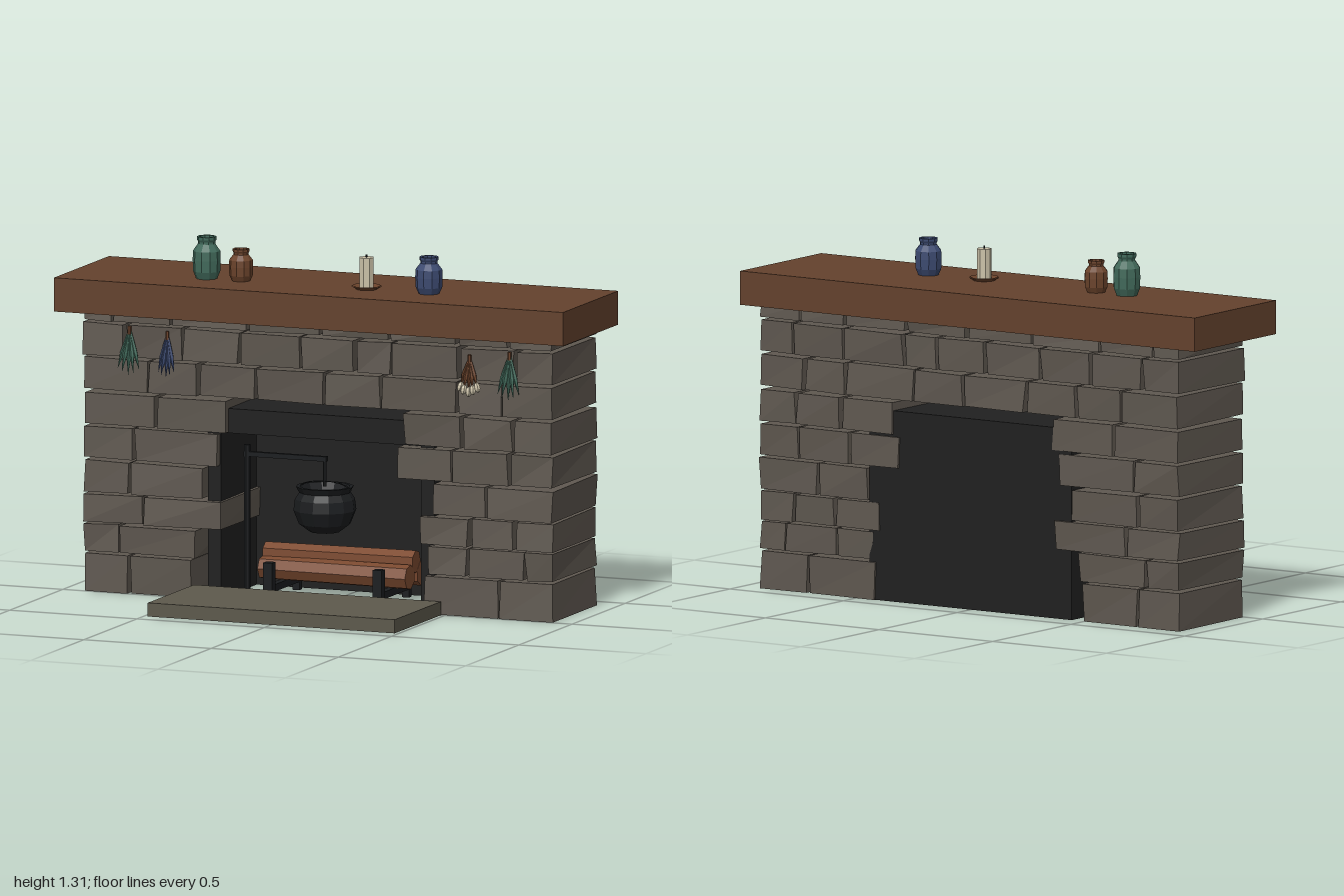
import * as THREE from 'three';

const mat = (name, color) => {
  const m = new THREE.MeshStandardMaterial({ color, flatShading: true });
  m.name = name;
  return m;
};

export function createModel() {
  const root = new THREE.Group();
  root.name = 'fireplace';
  const stone = mat('stone', 0x5f5850), slate = mat('slate', 0x5d594c);
  const wood = mat('mantelWood', 0x64422d), soot = mat('soot', 0x202020);
  const iron = mat('iron', 0x1b1d1f), bark = mat('logWood', 0x7c4a30);
  const green = mat('green', 0x41695a), blue = mat('blue', 0x3c4a70);
  const clay = mat('clay', 0x6b432b), cream = mat('cream', 0xcbc1a8);

  let seed = 7;
  const rnd = () => (seed = (seed * 16807) % 2147483647) / 2147483647;

  const add = (name, geo, m, x = 0, y = 0, z = 0, parent = root) => {
    const mesh = new THREE.Mesh(geo, m);
    mesh.name = name;
    mesh.position.set(x, y, z);
    parent.add(mesh);
    return mesh;
  };
  // Box given by its limits
  const block = (name, m, x0, x1, y0, y1, z0, z1, parent = root) =>
    add(name, new THREE.BoxGeometry(x1 - x0, y1 - y0, z1 - z0), m,
      (x0 + x1) / 2, (y0 + y1) / 2, (z0 + z1) / 2, parent);
  const lathe = (name, pts, sides, m, x, y, z, parent = root) =>
    add(name, new THREE.LatheGeometry(pts.map(p => new THREE.Vector2(p[0], p[1])), sides), m, x, y, z, parent);

  // Rough stone: box with its eight corners nudged inward
  const stones = new THREE.Group();
  stones.name = 'stoneWall';
  root.add(stones);
  const roughStone = (x0, x1, y0, y1) => {
    const mesh = block('stone', stone, x0, x1, y0, y1, -0.428, 0, stones);
    const pos = mesh.geometry.attributes.position;
    const nudge = Array.from({ length: 8 }, () => [rnd() * 0.01, rnd() * 0.005, rnd() * 0.014]);
    for (let i = 0; i < pos.count; i++) {
      const s = [Math.sign(pos.getX(i)), Math.sign(pos.getY(i)), Math.sign(pos.getZ(i))];
      const n = nudge[(s[0] > 0 ? 1 : 0) + (s[1] > 0 ? 2 : 0) + (s[2] > 0 ? 4 : 0)];
      pos.setXYZ(i, pos.getX(i) - s[0] * n[0], pos.getY(i) - s[1] * (y0 ? n[1] : 0), pos.getZ(i) - s[2] * n[2]);
    }
  };
  // Courses: bottom, top, then runs of joint positions
  const E = 0.924;
  const courses = [
    [0, 0.138, [-E, -0.74, -0.495], [0.41, 0.71, E]],
    [0.144, 0.251, [-E, -0.78, -0.475], [0.425, 0.585, 0.81, E]],
    [0.253, 0.36, [-E, -0.69, -0.375], [0.395, 0.595, 0.77, E]],
    [0.363, 0.482, [-E, -0.74, -0.445], [0.445, 0.663, E]],
    [0.488, 0.608, [-E, -0.725, -0.39], [0.305, 0.525, 0.75, E]],
    [0.613, 0.733, [-E, -0.635, -0.36], [0.335, 0.565, 0.765, E]],
    [0.741, 0.861, [-E, -0.67, -0.47, -0.245, 0.025, 0.245, 0.545, 0.725, E]],
    [0.867, 0.988, [-E, -0.76, -0.535, -0.31, -0.07, 0.145, 0.29, 0.555, 0.775, E]],
    [0.993, 1.05, [-E, -0.81, -0.575, -0.275, 0.01, 0.28, 0.545, 0.745, E]],
  ];
  for (const [y0, y1, ...runs] of courses)
    for (const run of runs)
      for (let i = 0; i + 1 < run.length; i++)
        roughStone(run[i] + (i ? 0.001 : 0), run[i + 1] - (i + 2 < run.length ? 0.001 : 0), y0, y1);

  // Mantel and hearth
  block('mantel', wood, -1, 1, 1.034, 1.158, -0.435, 0.085);
  block('hearthSlab', slate, -0.485, 0.485, 0, 0.05, 0, 0.435);

  // Firebox, open at the front and underneath
  block('fireboxBack', soot, -0.445, 0.445, 0, 0.7, -0.415, -0.37);
  block('fireboxTop', soot, -0.445, 0.445, 0.61, 0.7, -0.37, -0.035);
  for (const s of [-1, 1])
    block('fireboxSide', soot, s < 0 ? -0.445 : 0.393, s < 0 ? -0.393 : 0.445, 0, 0.61, -0.37, -0.035);

  // Fire irons
  for (const x of [-0.215, 0.215]) {
    const g = new THREE.Group();
    g.name = 'andiron';
    root.add(g);
    block('post', iron, x - 0.017, x + 0.017, 0, 0.14, -0.08, -0.046, g);
    block('bar', iron, x - 0.013, x + 0.013, 0.03, 0.056, -0.34, -0.08, g);
    block('rearFoot', iron, x - 0.013, x + 0.013, 0, 0.03, -0.34, -0.314, g);
  }

  // Stacked logs
  const logs = [[0.1, -0.175, 0.046, 0], [0.1, -0.28, 0.046, 0.3], [0.15, -0.225, 0.042, 0.5]];
  for (const [y, z, r, turn] of logs) {
    const log = add('log', new THREE.CylinderGeometry(r * 0.95, r, 0.585, 7).rotateY(turn).rotateZ(Math.PI / 2), bark, 0, y, z);
    log.rotation.y = (turn - 0.25) * 0.08;
  }

  // Crane and hanging pot
  const crane = new THREE.Group();
  crane.name = 'crane';
  root.add(crane);
  const cz = -0.19;
  add('post', new THREE.CylinderGeometry(0.012, 0.012, 0.545, 6), iron, -0.355, 0.2725, cz, crane);
  block('arm', iron, -0.365, -0.042, 0.502, 0.52, cz - 0.009, cz + 0.009, crane);
  add('hook', new THREE.CylinderGeometry(0.006, 0.006, 0.1, 6), iron, -0.05, 0.46, cz, crane);
  add('handle', new THREE.TorusGeometry(0.1, 0.005, 5, 10, Math.PI).scale(1, 0.3, 1), iron, -0.05, 0.4, cz, crane);
  lathe('pot', [[0, 0.243], [0.055, 0.245], [0.095, 0.275], [0.115, 0.325], [0.11, 0.365], [0.094, 0.39],
    [0.106, 0.412], [0.092, 0.412], [0.082, 0.385], [0.09, 0.33], [0, 0.27]], 12, iron, -0.05, 0, cz, crane);

  // Jars on the mantel
  const jar = (name, m, x, r, h) => lathe(name, [[0, 0], [r * 0.75, 0], [r * 0.97, h * 0.18], [r, h * 0.45],
    [r * 0.97, h * 0.66], [r * 0.62, h * 0.83], [r * 0.62, h * 0.88], [r * 0.7, h * 0.93], [r * 0.7, h],
    [r * 0.52, h], [r * 0.5, h * 0.85], [0, h * 0.85]], 10, m, x, 1.157, -0.12);
  jar('greenJar', green, -0.485, 0.051, 0.155);
  jar('clayJar', clay, -0.35, 0.044, 0.118);
  jar('blueJar', blue, 0.388, 0.05, 0.136);

  // Candle on its dish
  lathe('candleDish', [[0, 0], [0.036, 0], [0.056, 0.012], [0.052, 0.015], [0.032, 0.006], [0, 0.006]], 10, clay, 0.143, 1.157, -0.12);
  add('candle', new THREE.CylinderGeometry(0.027, 0.027, 0.112, 8), cream, 0.143, 1.219, -0.12);
  add('wick', new THREE.CylinderGeometry(0.003, 0.003, 0.012, 5), iron, 0.143, 1.279, -0.12);

  // Hanging bundles: thin leaves fanning out below a tie
  const bundle = (name, m, x, top, len, spread, tips) => {
    const g = new THREE.Group();
    g.name = name;
    g.position.set(x, top, 0.003);
    root.add(g);
    add('tie', new THREE.CylinderGeometry(0.007, 0.007, 0.03, 6), clay, 0, -0.005, 0.004, g);
    for (let i = -2; i <= 2; i++) {
      const l = len * (1 - Math.abs(i) * 0.05);
      const leaf = new THREE.Group();
      leaf.name = 'sprig';
      leaf.rotation.set(-0.1 - (i % 2 ? 0.04 : 0), 0, i * spread);
      g.add(leaf);
      lathe('leaf', [[0, -l], [0.009, -l * 0.6], [0.006, -l * 0.2], [0.003, 0]], 5, m, 0, 0, 0, leaf);
      if (tips) add('bulb', new THREE.SphereGeometry(0.012, 6, 5).scale(1, 1.6, 1), cream, 0, -l, 0, leaf);
    }
  };
  bundle('greenHerbs', green, -0.735, 0.975, 0.17, 0.14);
  bundle('blueHerbs', blue, -0.587, 0.965, 0.16, 0.11);
  bundle('garlic', clay, 0.6, 0.955, 0.125, 0.15, true);
  bundle('greenHerbs', green, 0.757, 0.975, 0.17, 0.14);

  return root;
}
